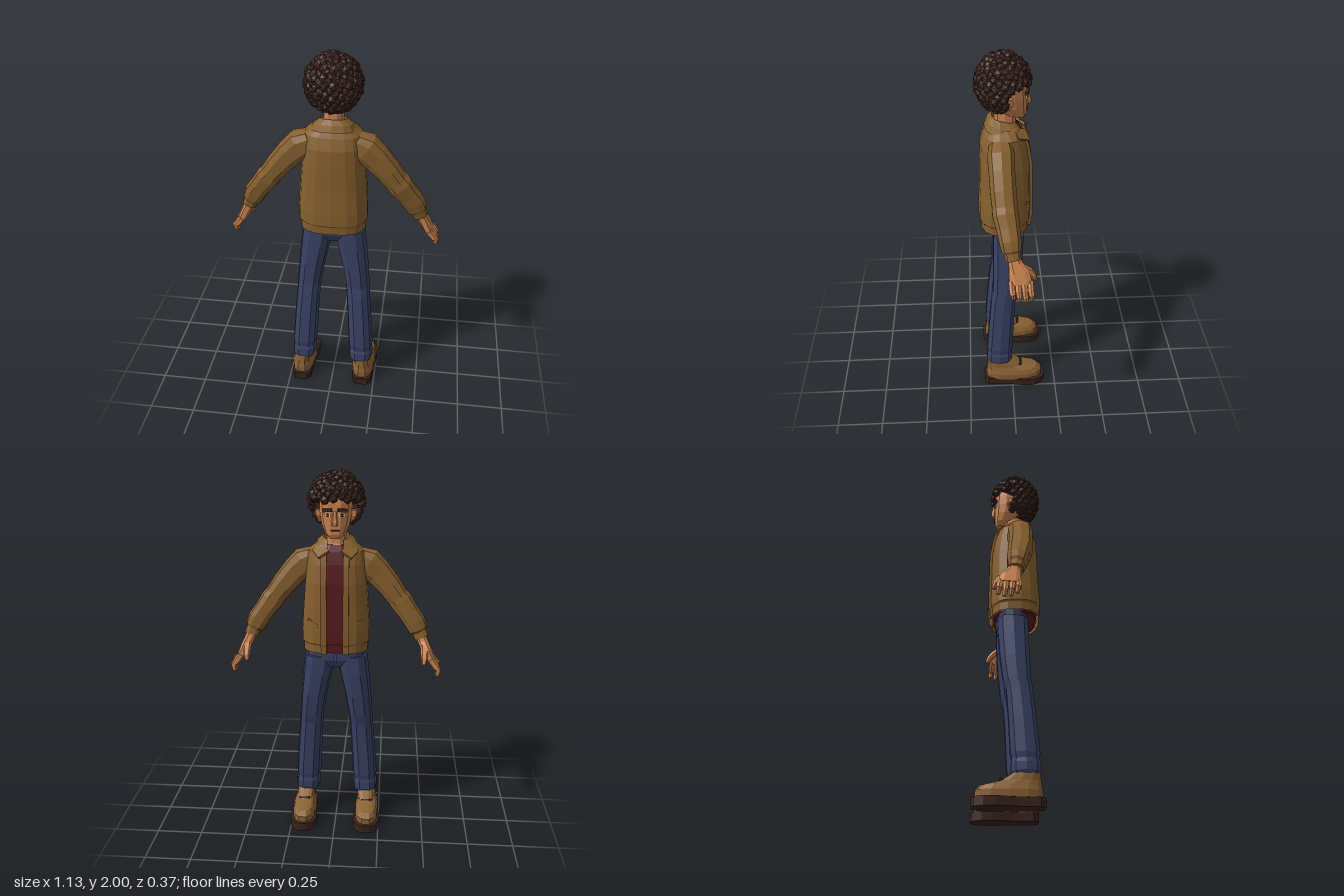
import * as THREE from 'three';
import { mergeGeometries } from 'three/addons/utils/BufferGeometryUtils.js';

const mat = (name, color, extra = {}) => Object.assign(new THREE.MeshStandardMaterial({ color, ...extra }), { name });

// faceted normals
function facet(geo) {
  const g = geo.index ? geo.toNonIndexed() : geo;
  g.deleteAttribute('uv');
  g.computeVertexNormals();
  return g;
}

// Skin over rings. Rows are [x, y, z, half width, half depth].
// along: rings turn with the path; gap: half width left open at the front; tilt: raises the back.
function loft(rows, { sides = 10, pow = 0.75, along = false, gap = 0, tilt = 0 } = {}) {
  const pos = [], idx = [];
  const bend = v => Math.sign(v) * Math.abs(v) ** pow;
  const centres = rows.map(r => new THREE.Vector3(r[0], r[1], r[2]));
  const n = gap ? sides + 1 : sides;
  rows.forEach(([x, y, z, a, b], i) => {
    let u = new THREE.Vector3(0, 0, 1), v = new THREE.Vector3(1, 0, 0);
    if (along) {
      const t = centres[Math.min(i + 1, rows.length - 1)].clone().sub(centres[Math.max(i - 1, 0)]).normalize();
      u.addScaledVector(t, -u.dot(t)).normalize();
      v = t.clone().cross(u);
    }
    const g = gap ? Math.asin(Math.min(1, (gap / a) ** (1 / pow))) : 0;
    for (let j = 0; j < n; j++) {
      const th = gap ? g + (2 * Math.PI - 2 * g) * j / sides : 2 * Math.PI * (j + 0.5) / sides;
      const s = bend(Math.sin(th)) * a, c = -bend(Math.cos(th)) * b;
      pos.push(x + v.x * s + u.x * c, y + v.y * s + u.y * c + tilt * c, z + v.z * s + u.z * c);
    }
  });
  for (let i = 0; i < rows.length - 1; i++) {
    for (let j = 0; j < sides; j++) {
      const k = gap ? j + 1 : (j + 1) % n;
      const a = i * n + j, b = i * n + k, c = b + n, d = a + n;
      idx.push(a, d, c, a, c, b);
    }
  }
  if (!gap) {
    const last = (rows.length - 1) * n, c0 = pos.length / 3;
    pos.push(...centres[0].toArray(), ...centres[rows.length - 1].toArray());
    for (let j = 0; j < n; j++) {
      const k = (j + 1) % n;
      idx.push(c0, j, k, c0 + 1, last + k, last + j);
    }
  }
  const geo = new THREE.BufferGeometry();
  geo.setAttribute('position', new THREE.Float32BufferAttribute(pos, 3));
  geo.setIndex(idx);
  return facet(geo);
}

export function createModel() {
  const model = new THREE.Group();
  const jacket = mat('jacket tan', 0x86602f, { side: THREE.DoubleSide });
  const leather = mat('shoe leather', 0x8a6234);
  const denim = mat('denim', 0x3a4264);
  const skin = mat('skin', 0xc98250);
  const hairMat = mat('hair brown', 0x402720);
  const sole = mat('sole brown', 0x38221d);
  const red = mat('shirt red', 0x561a1f);
  const white = mat('eye white', 0xd8cfc4);
  const add = (name, geo, material) => {
    const m = new THREE.Mesh(geo, material);
    m.name = name;
    model.add(m);
    return m;
  };
  const box = (name, size, at, material, rot = [0, 0, 0]) => {
    const m = add(name, facet(new THREE.BoxGeometry(...size)), material);
    m.position.set(...at);
    m.rotation.set(...rot);
    return m;
  };

  // Jacket shell, open down the front (the face looks towards -z)
  const body = [
    [0, 1.05, 0.035, 0.174, 0.13], [0, 1.095, 0.035, 0.176, 0.132], [0, 1.105, 0.035, 0.183, 0.138],
    [0, 1.17, 0.034, 0.183, 0.138], [0, 1.3, 0.031, 0.174, 0.133], [0, 1.43, 0.031, 0.163, 0.131],
    [0, 1.53, 0.036, 0.154, 0.12], [0, 1.59, 0.035, 0.145, 0.1], [0, 1.625, 0.035, 0.105, 0.08],
    [0, 1.645, 0.035, 0.075, 0.065]];
  add('jacketBody', loft(body, { sides: 16, gap: 0.055 }), jacket);
  add('collar', loft([[0, 1.6, 0.035, 0.118, 0.1], [0, 1.635, 0.035, 0.1, 0.085], [0, 1.662, 0.035, 0.066, 0.06],
    [0, 1.62, 0.035, 0.064, 0.058]], { sides: 12, gap: 0.04, tilt: 0.22 }), jacket);
  add('shirt', loft(body.slice(0, 9).map(([x, y, z, a, b]) => [x, y, z, a - 0.02, b - 0.014]), { sides: 16 }), red);

  // Neck and head
  add('neck', loft([[0, 1.58, 0.02, 0.07, 0.075], [0, 1.63, 0.03, 0.054, 0.056], [0, 1.75, 0.03, 0.05, 0.052]]), skin);
  add('head', loft([[0, 1.663, -0.045, 0.026, 0.024], [0, 1.685, -0.02, 0.052, 0.058], [0, 1.73, 0.01, 0.073, 0.09],
    [0, 1.78, 0.018, 0.083, 0.098], [0, 1.84, 0.025, 0.086, 0.104], [0, 1.9, 0.03, 0.08, 0.1],
    [0, 1.95, 0.03, 0.05, 0.06]], { sides: 12 }), skin);
  add('nose', loft([[0, 1.734, -0.082, 0.017, 0.016], [0, 1.75, -0.084, 0.016, 0.018],
    [0, 1.805, -0.078, 0.009, 0.01]], { sides: 6 }), skin);
  box('mouth', [0.045, 0.006, 0.008], [0, 1.708, -0.08], sole);

  // Curly hair: a core cut away over the face, covered in clumps
  const core = new THREE.IcosahedronGeometry(1, 3);
  const p = core.attributes.position;
  for (let i = 0; i < p.count; i++) {
    const y = 1.842 + p.getY(i) * 0.132, z = 0.037 + p.getZ(i) * 0.122;
    p.setXYZ(i, p.getX(i) * 0.125, y, y < 1.85 ? Math.max(z, 0.03) : z);
  }
  const curls = [facet(core)];
  const count = 230;
  for (let i = 0; i < count; i++) {
    const h = 1 - 2 * (i + 0.5) / count, r = Math.sqrt(1 - h * h), th = i * 2.39996;
    const x = Math.cos(th) * r * 0.128, y = 1.842 + h * 0.133, z = 0.037 + Math.sin(th) * r * 0.124;
    if ((z < 0.015 && y < 1.855) || (y < 1.73 && z < 0.04)) continue;
    const curl = new THREE.IcosahedronGeometry(0.021 + 0.007 * ((i * 7) % 5) / 4, 0);
    curl.rotateX(i * 1.3).rotateY(i * 2.1).translate(x, y, z);
    curls.push(facet(curl));
  }
  add('hair', mergeGeometries(curls), hairMat);

  // Shoe sole outline, [z, half width] from heel to toe
  const outline = [[0.165, 0.035], [0.14, 0.055], [0.03, 0.058], [-0.07, 0.075], [-0.13, 0.073], [-0.172, 0.05], [-0.187, 0.022]];

  for (const s of [1, -1]) {
    const side = s > 0 ? 'left' : 'right';
    const flip = rows => rows.map(([x, ...rest]) => [x * s, ...rest]);

    // Front edge of the jacket
    const edge = body.slice(0, 8).map(([, y, z, a, b]) => {
      const sn = (0.058 / a) ** (1 / 0.75);
      return [s * 0.058, y, z - b * (1 - sn * sn) ** 0.375, 0.02, 0.013];
    });
    add(side + 'Placket', loft(edge, { sides: 4 }), jacket);
    // Collar tip
    const tip = box(side + 'CollarTip', [0.065, 0.012, 0.075], [s * 0.075, 1.598, -0.05], jacket);
    tip.rotation.set(-0.45, s * 0.5, -s * 0.35);
    box(side + 'Pocket', [0.07, 0.012, 0.009], [s * 0.115, 1.22, -0.08], jacket, [0, -s * 0.35, s * 0.5]);

    // Sleeve with folds and cuff
    add(side + 'Sleeve', loft(flip([
      [0.11, 1.545, 0.055, 0.06, 0.06], [0.165, 1.515, 0.055, 0.082, 0.07], [0.22, 1.465, 0.054, 0.073, 0.066],
      [0.28, 1.395, 0.05, 0.066, 0.066], [0.325, 1.335, 0.045, 0.06, 0.064], [0.345, 1.31, 0.043, 0.064, 0.066],
      [0.385, 1.255, 0.032, 0.058, 0.06], [0.42, 1.205, 0.024, 0.059, 0.056], [0.44, 1.165, 0.018, 0.054, 0.05],
      [0.446, 1.155, 0.016, 0.042, 0.042], [0.46, 1.122, 0.01, 0.041, 0.041]]), { along: true }), jacket);

    // Hand
    add(side + 'Palm', loft(flip([
      [0.447, 1.15, 0.01, 0.028, 0.03], [0.468, 1.105, 0, 0.028, 0.037], [0.49, 1.06, -0.018, 0.027, 0.055],
      [0.515, 1.01, -0.024, 0.022, 0.06]]), { along: true, sides: 8 }), skin);
    [0.022, -0.009, -0.04, -0.07].forEach((z, i) => {
      const d = [0.02, 0.004, 0, 0.01][i];
      add(side + 'Finger' + (i + 1), loft(flip([
        [0.508, 1.025, z, 0.018, 0.016], [0.538, 0.985, z - 0.003, 0.018, 0.016],
        [0.552, 0.957 + d, z - 0.006, 0.015, 0.014], [0.546, 0.927 + d, z - 0.01, 0.011, 0.011]]),
      { along: true, sides: 6 }), skin);
    });
    add(side + 'Thumb', loft(flip([
      [0.475, 1.09, -0.025, 0.02, 0.02], [0.475, 1.055, -0.07, 0.02, 0.018], [0.475, 1.03, -0.09, 0.016, 0.015],
      [0.472, 1.005, -0.1, 0.011, 0.01]]), { along: true, sides: 6 }), skin);

    // Trouser leg with turned cuff
    add(side + 'Leg', loft(flip([
      [0.165, 0.158, 0.075, 0.062, 0.07], [0.166, 0.175, 0.075, 0.069, 0.076], [0.165, 0.215, 0.074, 0.07, 0.075],
      [0.165, 0.235, 0.073, 0.064, 0.07], [0.163, 0.265, 0.072, 0.07, 0.075], [0.152, 0.45, 0.06, 0.068, 0.072],
      [0.141, 0.6, 0.048, 0.066, 0.07], [0.136, 0.66, 0.035, 0.067, 0.073], [0.122, 0.78, 0.026, 0.072, 0.079],
      [0.1, 0.92, 0.02, 0.081, 0.083], [0.087, 1.02, 0.018, 0.083, 0.083]]), { sides: 10 }), denim);

    // Shoe
    const cx = 0.18 * s;
    const shape = new THREE.Shape([
      ...outline.map(([z, w]) => new THREE.Vector2(cx + w, -z)),
      ...outline.slice().reverse().map(([z, w]) => new THREE.Vector2(cx - w, -z))]);
    const soleGeo = new THREE.ExtrudeGeometry(shape, { depth: 0.046, bevelEnabled: false });
    add(side + 'Sole', facet(soleGeo.rotateX(-Math.PI / 2)), sole);
    add(side + 'Shoe', loft(flip([
      [0.18, 0.044, -0.008, 0.066, 0.164], [0.18, 0.08, -0.008, 0.066, 0.164], [0.18, 0.105, 0.002, 0.058, 0.148],
      [0.178, 0.126, 0.045, 0.052, 0.103], [0.172, 0.165, 0.074, 0.054, 0.071]]), { sides: 14 }), leather);
    box(side + 'Lace', [0.06, 0.009, 0.016], [cx, 0.131, -0.045], sole, [0.5, 0, 0]);

    // Face details
    box(side + 'Eye', [0.032, 0.014, 0.008], [s * 0.036, 1.785, -0.076], white, [0, -s * 0.2, 0]);
    box(side + 'Pupil', [0.013, 0.014, 0.008], [s * 0.035, 1.785, -0.0785], sole, [0, -s * 0.2, 0]);
    box(side + 'Brow', [0.048, 0.016, 0.016], [s * 0.038, 1.81, -0.078], hairMat, [0, -s * 0.2, -s * 0.1]);
    add(side + 'Ear', loft(flip([[0.08, 1.735, 0.02, 0.012, 0.014], [0.09, 1.77, 0.015, 0.018, 0.026],
      [0.092, 1.8, 0.015, 0.018, 0.024]]), { sides: 6 }), skin);
  }

  // Trouser seat
  add('trouserSeat', loft([[0, 0.955, 0.018, 0.07, 0.06], [0, 1.0, 0.018, 0.16, 0.081],
    [0, 1.09, 0.018, 0.162, 0.085]], { sides: 14 }), denim);
  box('fly', [0.02, 0.07, 0.009], [0, 1.03, -0.066], denim);
  return model;
}
